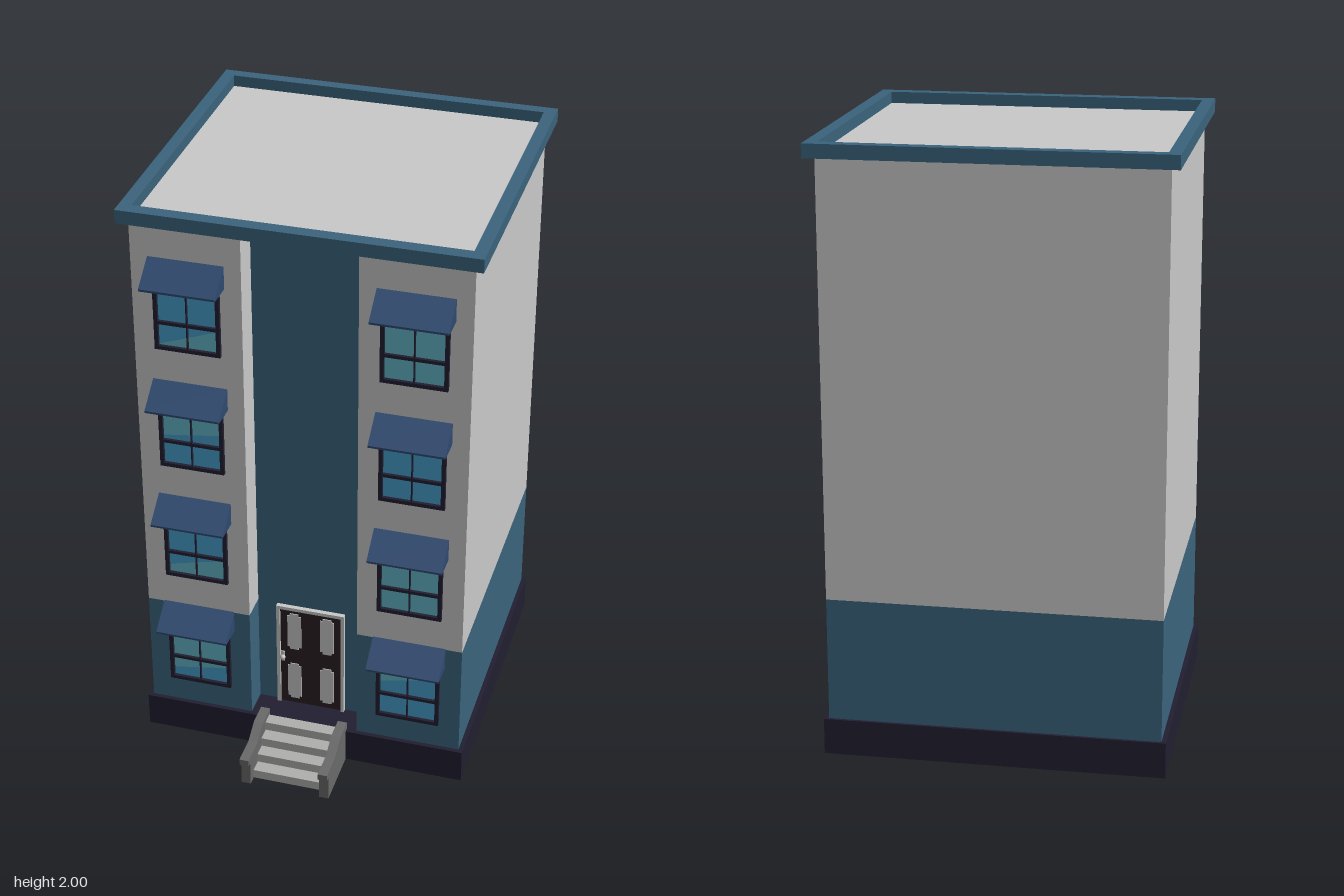
import * as THREE from 'three';

const mat = (name, color) => {
  const m = new THREE.MeshStandardMaterial({ color });
  m.name = name;
  return m;
};

export function createModel() {
  const wallGrey = mat('wall grey', 0xc9c9c9);
  const teal = mat('teal paint', 0x3b647d);
  const navy = mat('dark navy', 0x211f31);
  const awningBlue = mat('awning blue', 0x2f4a70);
  const glassBlue = mat('glass blue', 0x479fcd);
  const glassCyan = mat('glass cyan', 0x62b5c8);
  const stepGrey = mat('step grey', 0xb0b0ae);
  const railGrey = mat('rail grey', 0x6a6a6a);
  const doorBrown = mat('door brown', 0x2a1f22);

  const building = new THREE.Group();
  building.name = 'apartmentBuilding';

  const add = (parent, name, geometry, material) => {
    const mesh = new THREE.Mesh(geometry, material);
    mesh.name = name;
    parent.add(mesh);
    return mesh;
  };
  // box given by its lower and upper corners
  const box = (parent, name, material, [x0, y0, z0], [x1, y1, z1]) => {
    const g = new THREE.BoxGeometry(x1 - x0, y1 - y0, z1 - z0);
    g.translate((x0 + x1) / 2, (y0 + y1) / 2, (z0 + z1) / 2);
    return add(parent, name, g, material);
  };
  const outline = (pts) => new THREE.Shape(pts.map(([x, y]) => new THREE.Vector2(x, y)));
  const rect = (x0, y0, x1, y1) => outline([[x0, y0], [x1, y0], [x1, y1], [x0, y1]]);
  const extrude = (shape, depth) =>
    new THREE.ExtrudeGeometry(shape, { depth, bevelEnabled: false });
  // plan outline in (x, -z), raised from y0 to y1
  const raise = (shape, y0, y1) => extrude(shape, y1 - y0).rotateX(-Math.PI / 2).translate(0, y0, 0);
  // side profile in (z, y), given a width in x and centred on x = 0
  const sideways = (pts, width) =>
    extrude(outline(pts), width).rotateY(-Math.PI / 2).translate(width / 2, 0, 0);

  // plinth and walls, with a shallow recess down the middle of the front
  box(building, 'plinth', navy, [-0.555, 0, -0.61], [0.555, 0.12, 0.415]);
  const plan = outline([
    [-0.54, 0.6], [-0.54, -0.4], [-0.185, -0.4], [-0.185, -0.3],
    [0.185, -0.3], [0.185, -0.4], [0.54, -0.4], [0.54, 0.6],
  ]);
  add(building, 'lowerWalls', raise(plan, 0.12, 0.53), teal);
  add(building, 'upperWalls', raise(plan, 0.53, 1.955), wallGrey);
  box(building, 'recessPanel', teal, [-0.185, 0.12, 0.299], [0.185, 1.955, 0.304]);

  // roof and cornice
  box(building, 'roof', wallGrey, [-0.54, 1.955, -0.61], [0.54, 1.962, 0.4]);
  const rim = rect(-0.57, -0.435, 0.57, 0.64);
  rim.holes.push(rect(-0.53, -0.39, 0.53, 0.6));
  add(building, 'cornice', raise(rim, 1.955, 2), teal);

  // one window; split = heights at the left and right where the glass tone changes
  const W = 0.1075, H = 0.25, B = 0.013;
  const makeWindow = (name, x, y, top, low, split) => {
    const w = new THREE.Group();
    w.name = name;
    w.position.set(x, y, 0.4);
    const frame = rect(-W, 0, W, H);
    frame.holes.push(rect(-W + B, B, W - B, H - B));
    add(w, 'windowFrame', extrude(frame, 0.013), navy);
    const [l, r] = split;
    const pane = (title, pts, m) => {
      const g = new THREE.ShapeGeometry(outline(pts));
      add(w, title, g.translate(0, 0, 0.002), m);
    };
    const px = W - B;
    pane('upperGlass', [[-px, l], [px, r], [px, H - B], [-px, H - B]], top);
    if (low) pane('lowerGlass', [[-px, B], [px, B], [px, r], [-px, l]], low);
    box(w, 'crossBar', navy, [-px, 0.09, 0], [px, 0.101, 0.012]);
    box(w, 'uprightBar', navy, [-0.002, B, 0], [0.002, H - B, 0.012]);
    const awning = [[0, 0.24], [0.09, 0.243], [0.09, 0.25], [0, 0.318]];
    add(w, 'awning', sideways(awning, 0.245), awningBlue);
    building.add(w);
  };
  const b = glassBlue, c = glassCyan, plain = [B, B];
  const leftColumn = [
    [c, b, [0.042, 0.075]], [b, c, [0.04, 0.087]], [c, b, [0.113, 0.14]], [b, c, [0.015, 0.085]],
  ];
  const rightColumn = [
    [c, b, [0.14, 0.185]], [b, c, [0.2, 0.232]], [b, null, plain], [c, null, plain],
  ];
  for (let i = 0; i < 4; i++) {
    const y = 0.215 + i * 0.435;
    makeWindow('rightWindow' + (i + 1), -0.362, y, ...leftColumn[i]);
    makeWindow('leftWindow' + (i + 1), 0.362, y, ...rightColumn[i]);
  }

  // front door with four notched panels
  const door = new THREE.Group();
  door.name = 'frontDoor';
  building.add(door);
  const jamb = outline([
    [-0.118, 0.12], [-0.106, 0.12], [-0.106, 0.515], [0.106, 0.515],
    [0.106, 0.12], [0.118, 0.12], [0.118, 0.527], [-0.118, 0.527],
  ]);
  add(door, 'doorFrame', extrude(jamb, 0.02).translate(0, 0, 0.3), wallGrey);
  box(door, 'doorLeaf', doorBrown, [-0.106, 0.12, 0.3], [0.106, 0.515, 0.312]);
  const n = 0.009, hw = 0.024, hh = 0.074;
  const panel = outline([
    [-hw + n, -hh], [hw - n, -hh], [hw - n, -hh + n], [hw, -hh + n],
    [hw, hh - n], [hw - n, hh - n], [hw - n, hh], [-hw + n, hh],
    [-hw + n, hh - n], [-hw, hh - n], [-hw, -hh + n], [-hw + n, -hh + n],
  ]);
  for (const x of [-0.057, 0.057]) {
    for (const y of [0.215, 0.425]) {
      add(door, 'doorPanel', extrude(panel, 0.003), wallGrey).position.set(x, y, 0.312);
    }
  }
  box(door, 'handlePlate', wallGrey, [-0.104, 0.295, 0.312], [-0.092, 0.335, 0.316]);
  const knob = add(door, 'doorKnob', new THREE.SphereGeometry(0.009, 10, 8), wallGrey);
  knob.position.set(-0.096, 0.315, 0.322);

  // front steps and their side walls
  const steps = [[0.41, 0]];
  [0.592, 0.546, 0.5, 0.453].forEach((z, i) => {
    steps.push([z, i * 0.032], [z, (i + 1) * 0.032]);
  });
  steps.push([0.41, 0.128]);
  add(building, 'frontSteps', sideways(steps, 0.24), stepGrey);
  const rail = [
    [0.4, 0], [0.625, 0], [0.625, 0.09], [0.642, 0.09],
    [0.642, 0.112], [0.542, 0.112], [0.48, 0.147], [0.4, 0.147],
  ];
  for (const s of [-1, 1]) {
    add(building, s > 0 ? 'leftStepWall' : 'rightStepWall', sideways(rail, 0.032), railGrey)
      .position.x = s * 0.136;
  }

  return building;
}
